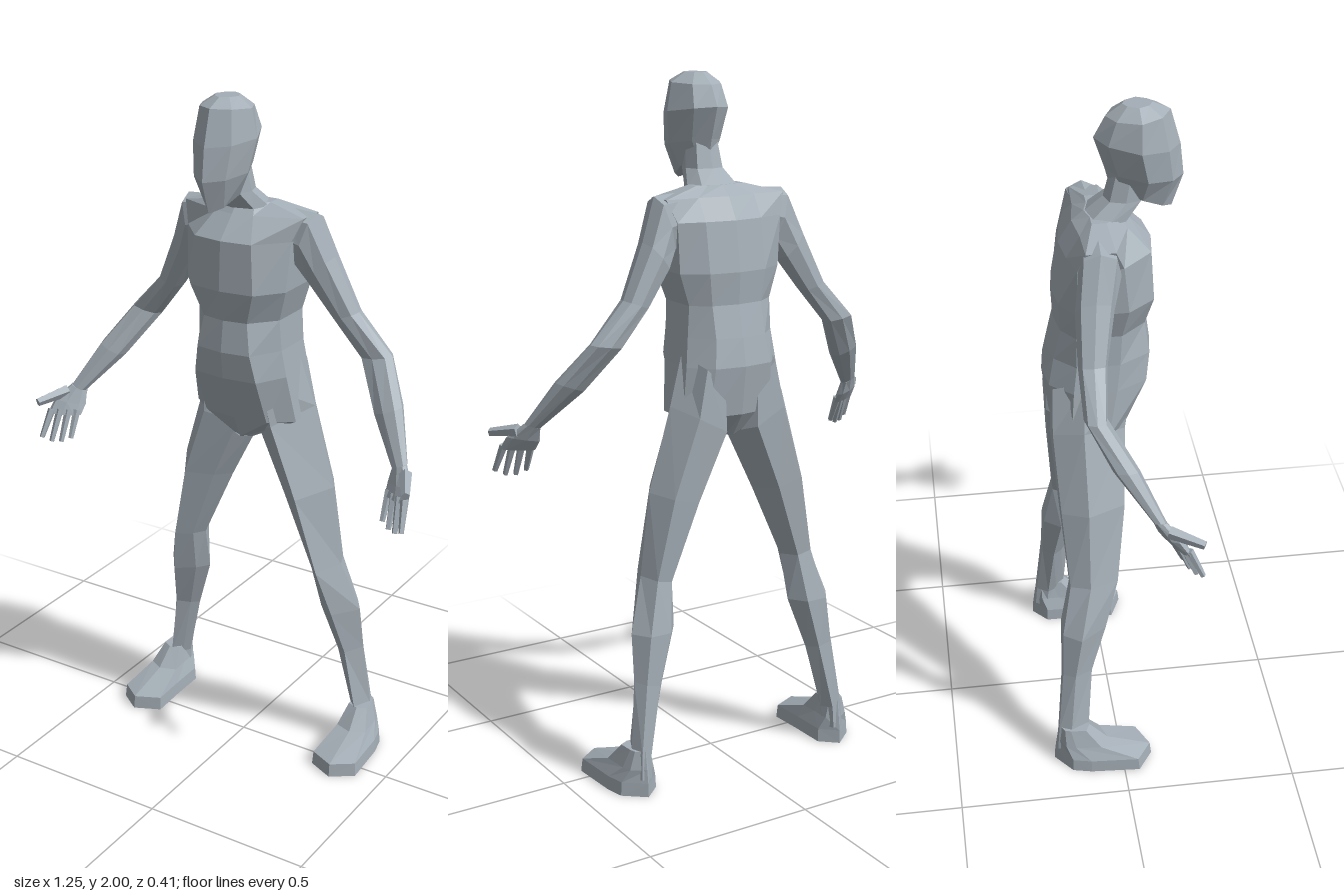
import * as THREE from 'three';

const skin = new THREE.MeshStandardMaterial({ color: 0xa4aeb6 });
skin.name = 'cool grey';

// Faceted solid through rings of points, capped at both ends, facing outwards
function loft(name, rings) {
  const tris = [];
  const n = rings[0].length;
  for (let r = 0; r < rings.length - 1; r++) {
    for (let i = 0; i < n; i++) {
      const j = (i + 1) % n;
      const [a, b, c, d] = [rings[r][i], rings[r][j], rings[r + 1][j], rings[r + 1][i]];
      tris.push([a, b, c], [a, c, d]);
    }
  }
  const first = rings[0], last = rings[rings.length - 1];
  for (let i = 1; i < n - 1; i++) {
    tris.push([first[0], first[i + 1], first[i]], [last[0], last[i], last[i + 1]]);
  }
  let volume = 0;
  for (const [a, b, c] of tris) volume += a.dot(b.clone().cross(c));
  const pos = [];
  for (const [a, b, c] of tris) {
    for (const p of volume > 0 ? [a, b, c] : [a, c, b]) pos.push(p.x, p.y, p.z);
  }
  const geo = new THREE.BufferGeometry();
  geo.setAttribute('position', new THREE.Float32BufferAttribute(pos, 3));
  geo.computeVertexNormals();
  const mesh = new THREE.Mesh(geo, skin);
  mesh.name = name;
  return mesh;
}

const V = (x, y, z) => new THREE.Vector3(x, y, z);

// Cross-sections as (outward, forward) pairs: a rounded octagon, and a leg with a shin ridge
const octagon = [[1, 0], [0.76, 0.76], [0, 1], [-0.76, 0.76], [-1, 0], [-0.76, -0.76], [0, -1], [0.76, -0.76]];
const ridged = [[0.2, 1], [1, -0.2], [0.5, -1], [-0.45, -1], [-1, -0.2], [-0.6, 0.4]];

// Limb from sections: outer x, y, inner x, y, front z, back z, forward turn of the outer edge
function limb(name, side, profile, sections) {
  return loft(name, sections.map(([ox, oy, ix, iy, zf, zb, turn = 0]) =>
    profile.map(([p, q]) => {
      const u = p / 2, w = q / 2;
      return V(side * ((ox + ix) / 2 + u * (ox - ix)), (oy + iy) / 2 + u * (oy - iy),
        (zf + zb) / 2 + w * (zf - zb) + u * turn);
    })));
}

// Tapered finger between two points
function finger(name, from, to, r) {
  const dir = to.clone().sub(from);
  const geo = new THREE.CylinderGeometry(r * 0.65, r, dir.length(), 5).toNonIndexed();
  geo.computeVertexNormals();
  const mesh = new THREE.Mesh(geo, skin);
  mesh.name = name;
  mesh.position.copy(from).add(to).multiplyScalar(0.5);
  mesh.quaternion.setFromUnitVectors(V(0, 1, 0), dir.normalize());
  return mesh;
}

// Torso: y, front panel half width, front z, half width, side front z, side back z, back half width, back z
function torso() {
  const sections = [
    [1.0, 0.01, 0.02, 0.03, 0.0, -0.1, 0.02, -0.12],
    [1.07, 0.1, 0.05, 0.165, -0.015, -0.12, 0.1, -0.167],
    [1.21, 0.1, 0.11, 0.147, 0.01, -0.11, 0.09, -0.185],
    [1.29, 0.085, 0.12, 0.137, 0.02, -0.1, 0.08, -0.17],
    [1.38, 0.07, 0.108, 0.132, 0.025, -0.1, 0.08, -0.15],
    [1.47, 0.1, 0.128, 0.16, 0.04, -0.1, 0.09, -0.155],
    [1.61, 0.09, 0.12, 0.167, 0.025, -0.1, 0.09, -0.132],
    [1.672, 0.06, 0.06, 0.19, 0.0, -0.08, 0.09, -0.095],
    [1.7, 0.05, 0.035, 0.08, -0.01, -0.05, 0.04, -0.062],
  ];
  return loft('torso', sections.map(([y, fw, zf, w, zsf, zsb, bw, zb]) => [
    V(0, y, zf), V(fw, y, zf - 0.012), V(w, y, zsf), V(w, y, zsb), V(bw, y, zb + 0.012),
    V(0, y, zb), V(-bw, y, zb + 0.012), V(-w, y, zsb), V(-w, y, zsf), V(-fw, y, zf - 0.012),
  ]));
}

// Head: front y, back y, half width, front z, back z
function head() {
  const sections = [
    [1.7, 1.78, 0.045, 0.175, 0.005],
    [1.79, 1.82, 0.076, 0.205, -0.005],
    [1.88, 1.91, 0.092, 0.195, -0.035],
    [1.978, 1.968, 0.077, 0.167, -0.004],
    [2.0, 2.0, 0.035, 0.12, 0.04],
  ];
  // width factor and position from front to back
  const half = [[0, 0], [0.65, 0.17], [1, 0.5], [0.6, 0.86], [0, 1]];
  const outline = [...half, ...half.slice(1, -1).reverse().map(([u, t]) => [-u, t])];
  return loft('head', sections.map(([yf, yb, w, zf, zb]) =>
    outline.map(([u, t]) => V(u * w, yf + (yb - yf) * t, zf + (zb - zf) * t))));
}

function arm(side) {
  const g = new THREE.Group();
  g.name = side > 0 ? 'leftArm' : 'rightArm';
  g.add(limb('armBody', side, octagon, [
    [0.14, 1.685, 0.13, 1.54, 0.015, -0.095],
    [0.208, 1.68, 0.16, 1.52, 0.015, -0.1],
    [0.255, 1.56, 0.185, 1.48, -0.008, -0.113],
    [0.325, 1.41, 0.255, 1.385, -0.036, -0.115],
    [0.43, 1.3, 0.335, 1.285, -0.05, -0.112],
    [0.5, 1.19, 0.42, 1.16, 0.025, -0.045],
    [0.56, 1.065, 0.515, 1.05, 0.085, 0.05],
  ]));
  g.add(limb('palm', side, octagon, [
    [0.56, 1.065, 0.515, 1.05, 0.085, 0.05, 0.01],
    [0.595, 1.025, 0.51, 1.01, 0.115, 0.075, 0.035],
    [0.604, 0.985, 0.513, 0.98, 0.135, 0.105, 0.04],
  ]));
  for (let i = 0; i < 4; i++) {
    const x = 0.526 + i * 0.022;
    const drop = i === 0 || i === 3 ? 0.012 : 0;
    g.add(finger('finger', V(side * x, 0.995, 0.102 + i * 0.012),
      V(side * (x + i * 0.004), 0.903 + drop, 0.137 + i * 0.013), 0.012));
  }
  g.add(finger('thumb', V(side * 0.568, 1.045, 0.09), V(side * 0.613, 1.027, 0.177), 0.019));
  return g;
}

function leg(side) {
  const g = new THREE.Group();
  g.name = side > 0 ? 'leftLeg' : 'rightLeg';
  g.add(limb('legBody', side, ridged, [
    [0.143, 1.24, 0.02, 1.12, 0.06, -0.165],
    [0.187, 1.1, 0.0, 1.0, 0.037, -0.17],
    [0.255, 0.86, 0.09, 0.82, 0.027, -0.157],
    [0.285, 0.62, 0.19, 0.6, 0.0, -0.14],
    [0.335, 0.465, 0.197, 0.465, -0.04, -0.168],
    [0.34, 0.33, 0.25, 0.31, -0.085, -0.172],
    [0.36, 0.13, 0.3, 0.11, -0.1, -0.19],
    [0.365, 0.05, 0.3, 0.05, -0.1, -0.195],
  ]));

  // Foot: pointed toe and heel, narrowing up to the ankle
  const sole = [[0.355, 0.09], [0.42, 0.045], [0.41, -0.1], [0.397, -0.155],
    [0.335, -0.205], [0.285, -0.16], [0.283, -0.05], [0.278, 0.055]];
  const layer = (y, squeeze, front, back) => sole.map(([x, z]) => {
    const t = (z + 0.205) / 0.295;
    return V(side * (0.335 + (x - 0.335) * squeeze), y, back + (front - back) * t);
  });
  g.add(loft('foot', [
    layer(0, 1, 0.09, -0.205),
    layer(0.04, 0.96, 0.085, -0.203),
    layer(0.08, 0.66, -0.045, -0.198),
    layer(0.135, 0.42, -0.098, -0.19),
  ]));
  return g;
}

export function createModel() {
  const model = new THREE.Group();
  model.name = 'humanFigure';
  model.add(torso(), head());
  model.add(limb('neck', 1, octagon, [
    [0.045, 1.82, -0.045, 1.82, 0.11, 0.01],
    [0.054, 1.74, -0.054, 1.74, 0.1, -0.01],
    [0.078, 1.69, -0.078, 1.69, 0.06, -0.07],
  ]));
  for (const side of [1, -1]) model.add(arm(side), leg(side));
  return model;
}
